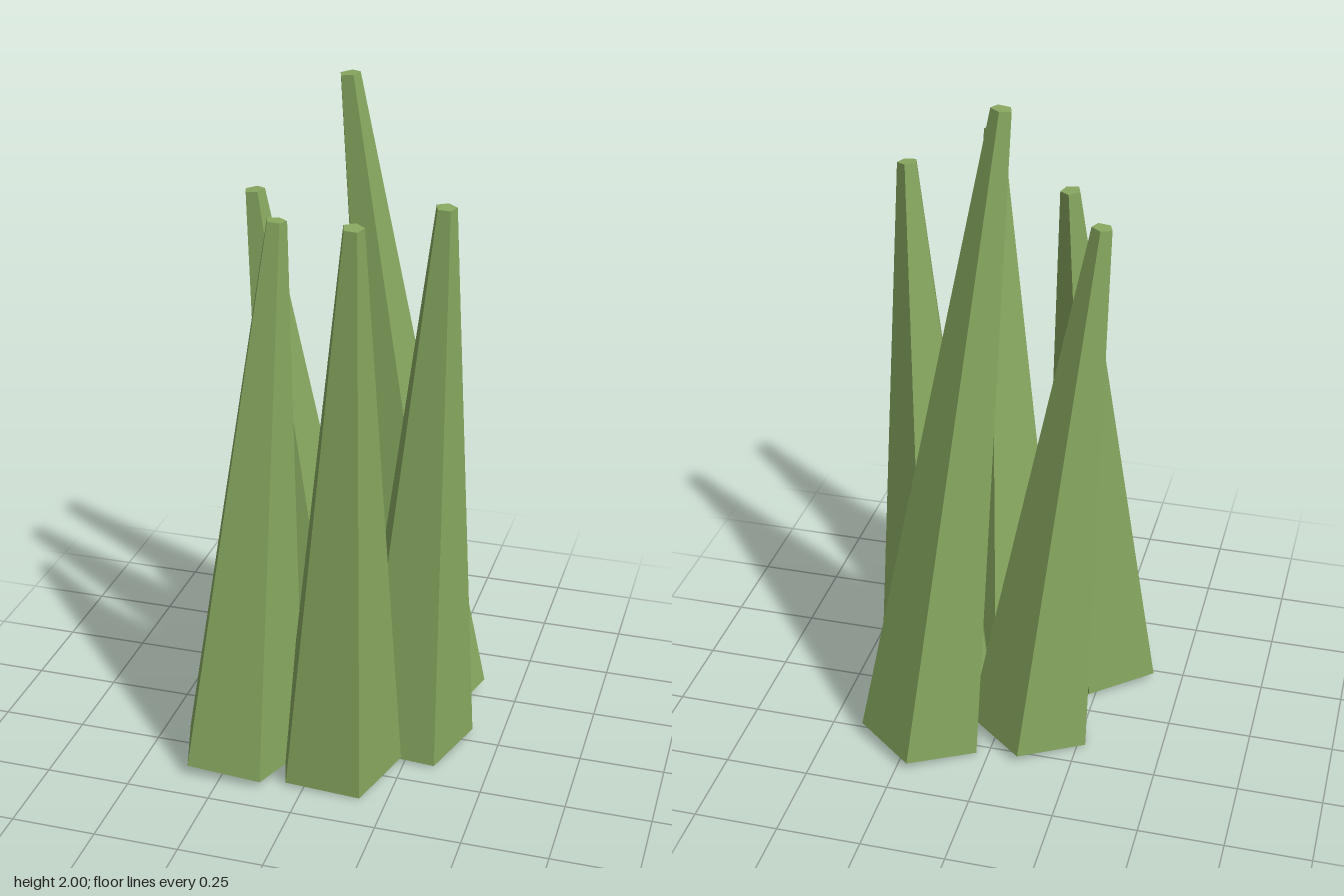
import * as THREE from 'three';

// Each blade: base centre [x, z] and tip centre [x, y, z]
const BLADES = [
  { name: 'backRightBlade', base: [0.215, -0.226], tip: [-0.01, 1.997, -0.135] },
  { name: 'backLeftBlade', base: [-0.094, -0.108], tip: [-0.267, 1.665, -0.067] },
  { name: 'rightBlade', base: [0.23, 0.014], tip: [0.325, 1.723, 0.111] },
  { name: 'frontLeftBlade', base: [-0.233, 0.259], tip: [-0.128, 1.662, 0.165] },
  { name: 'frontBlade', base: [0.06, 0.226], tip: [0.148, 1.738, 0.382] },
];
const BASE_Y = 0.022, BASE_RADIUS = 0.19, TIP_RADIUS = 0.03;

// Five-sided tapered blade leaning from its base to its tip
function createBlade({ name, base, tip }, material) {
  const start = new THREE.Vector3(base[0], BASE_Y, base[1]);
  const axis = new THREE.Vector3(...tip).sub(start);
  const height = axis.length();
  const geometry = new THREE.CylinderGeometry(TIP_RADIUS, BASE_RADIUS, height, 5, 1, false, Math.PI);
  geometry.translate(0, height / 2, 0); // pivot at the base
  const blade = new THREE.Mesh(geometry, material);
  blade.name = name;
  blade.position.copy(start);
  blade.quaternion.setFromUnitVectors(new THREE.Vector3(0, 1, 0), axis.normalize());
  return blade;
}

export function createModel() {
  const group = new THREE.Group();
  group.name = 'grassTuft';
  const material = new THREE.MeshStandardMaterial({ color: 0x88a860, flatShading: true });
  for (const blade of BLADES) group.add(createBlade(blade, material));
  return group;
}
